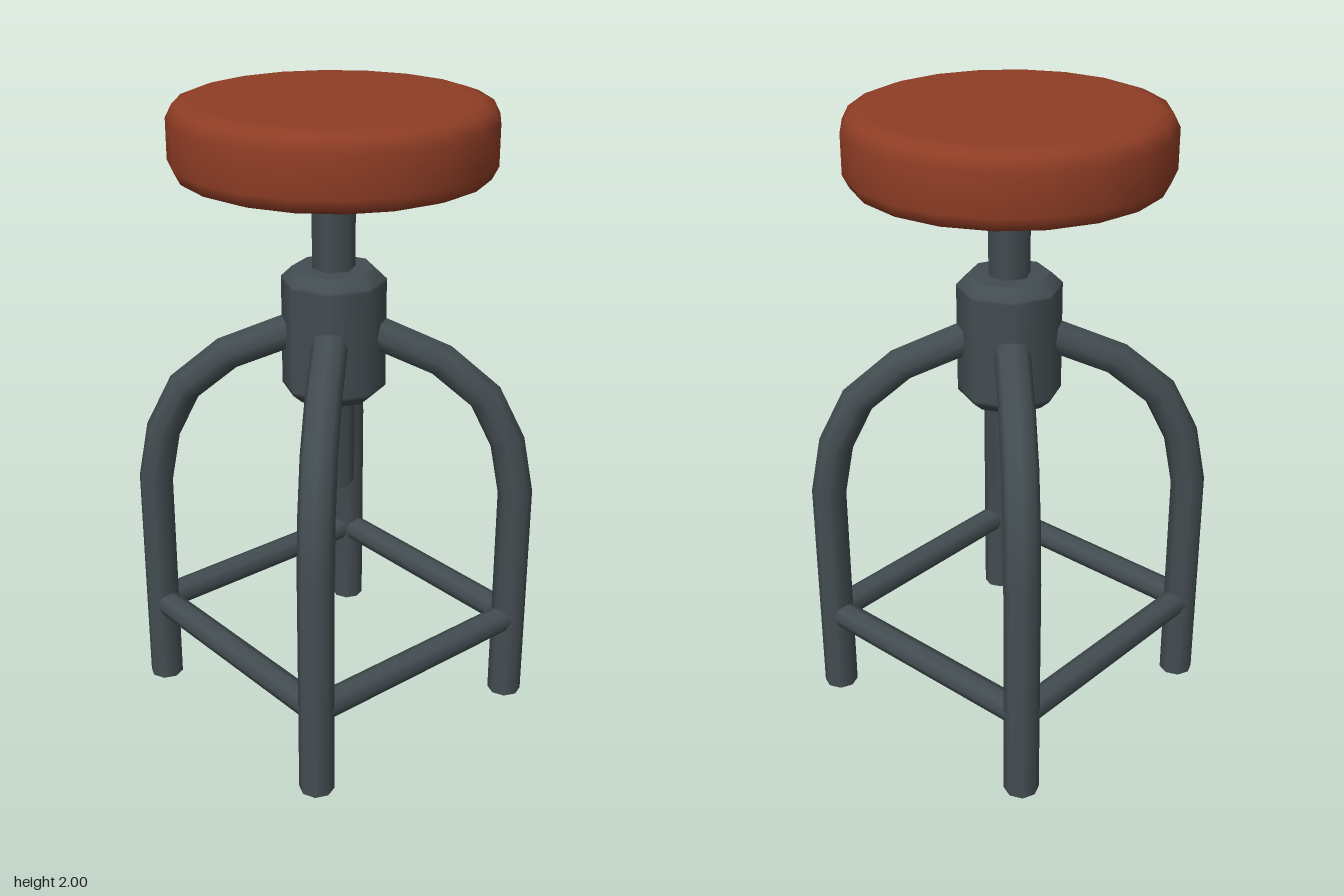
import * as THREE from 'three';

// Polyline curve: each tube ring sits exactly on one path point
class PolyCurve extends THREE.Curve {
  constructor(points) { super(); this.points = points; }
  getPoint(t, target = new THREE.Vector3()) {
    const n = this.points.length - 1, f = t * n, i = Math.min(Math.floor(f + 1e-6), n - 1);
    return target.copy(this.points[i]).lerp(this.points[i + 1], f - i);
  }
  getPointAt(t, target) { return this.getPoint(t, target); }
  getTangentAt(t, target = new THREE.Vector3()) {
    const p = this.points, n = p.length - 1, i = Math.round(t * n);
    const before = p[Math.max(i, 1)].clone().sub(p[Math.max(i, 1) - 1]).normalize();
    const j = Math.min(i, n - 1);
    const after = p[j + 1].clone().sub(p[j]).normalize();
    return target.copy(before.add(after).normalize());
  }
}

export function createModel() {
  const group = new THREE.Group();
  const leather = new THREE.MeshStandardMaterial({ name: 'rustLeather', color: 0x8f3d25 });
  const metal = new THREE.MeshStandardMaterial({ name: 'darkMetal', color: 0x434d51 });

  const add = (name, geometry, material, x = 0, y = 0, z = 0) => {
    const mesh = new THREE.Mesh(geometry, material);
    mesh.name = name;
    mesh.position.set(x, y, z);
    group.add(mesh);
    return mesh;
  };
  const lathe = (profile, sides) =>
    new THREE.LatheGeometry(profile.map(([r, y]) => new THREE.Vector2(r, y)), sides);

  // Round cushion with softened rims
  add('seat', lathe([
    [0, 1.772], [0.41, 1.772], [0.435, 1.774], [0.468, 1.786], [0.488, 1.825],
    [0.488, 1.947], [0.468, 1.986], [0.435, 1.998], [0.41, 2], [0, 2],
  ], 20), leather);

  // Hexagonal height screw
  add('screw', new THREE.CylinderGeometry(0.067, 0.067, 1.015, 6), metal, 0, 1.2725, 0);

  // Chamfered collar
  add('collar', lathe([
    [0, 1.075], [0.12, 1.075], [0.128, 1.075], [0.162, 1.105], [0.162, 1.115],
    [0.162, 1.445], [0.162, 1.455], [0.128, 1.487], [0.12, 1.487], [0, 1.487],
  ], 8), metal);

  // Four bent legs running diagonally into the collar
  const legPath = [[0.413, 0], [0.413, 0.75], [0.39, 0.925], [0.337, 1.077], [0.238, 1.195], [0.093, 1.281], [0.05, 1.3]];
  for (const [sx, sz] of [[1, 1], [1, -1], [-1, 1], [-1, -1]]) {
    const curve = new PolyCurve(legPath.map(([d, y]) => new THREE.Vector3(sx * d, y, sz * d)));
    add('leg', new THREE.TubeGeometry(curve, legPath.length - 1, 0.055, 8, false), metal);
    const foot = add('footCap', new THREE.CircleGeometry(0.055, 8), metal, sx * 0.413, 0, sz * 0.413);
    foot.rotation.x = Math.PI / 2;
  }

  // Square of foot rungs
  for (const s of [1, -1]) {
    const rung = () => new THREE.CylinderGeometry(0.043, 0.043, 0.826, 8);
    add('rung', rung(), metal, 0, 0.288, s * 0.415).rotation.z = Math.PI / 2;
    add('sideRung', rung(), metal, s * 0.415, 0.288, 0).rotation.x = Math.PI / 2;
  }
  return group;
}
